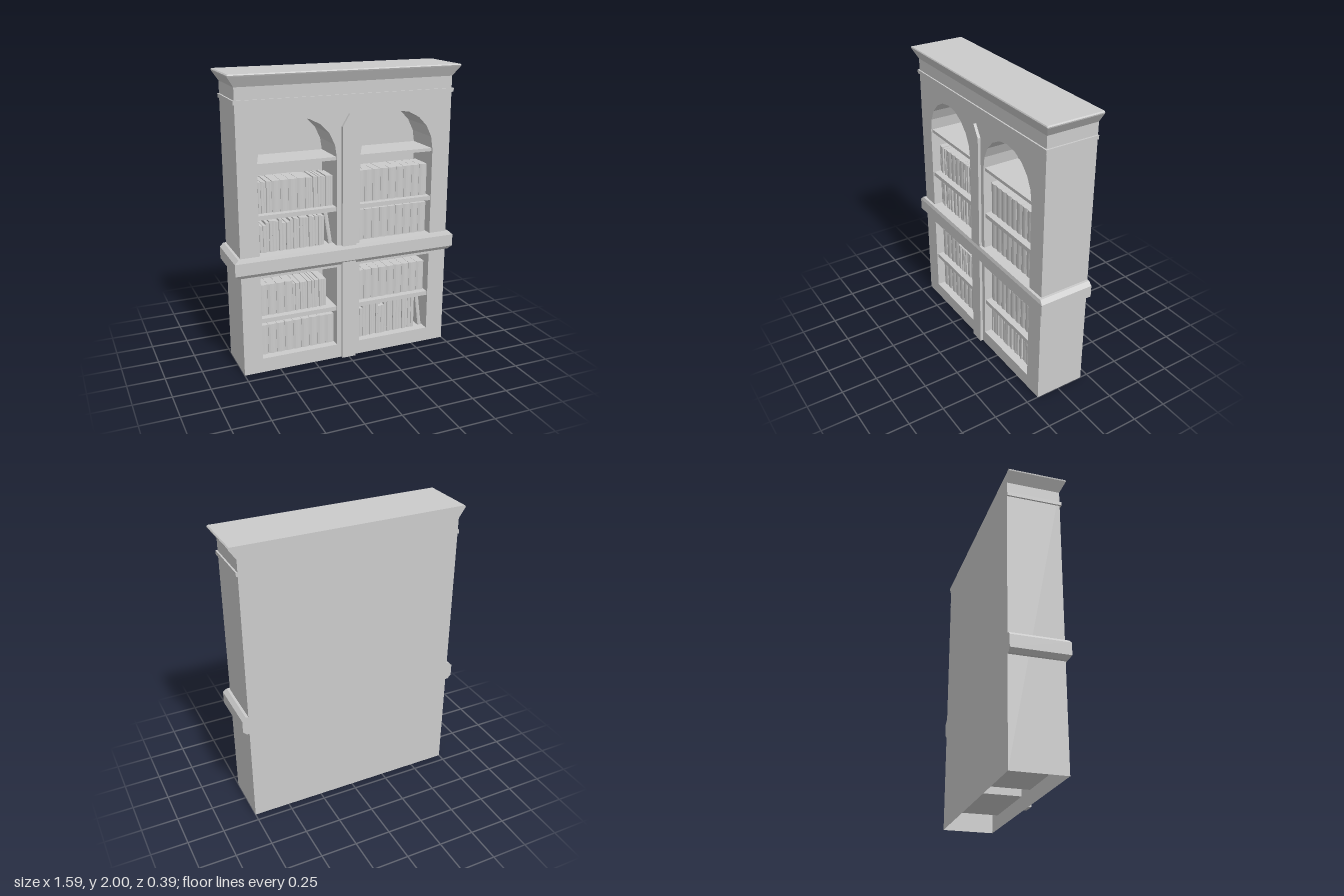
import * as THREE from 'three';

const FRONT = 0.165, BACK = -0.195, NICHE_BACK = -0.1;
const IN = 0.083, OUT = 0.62, MID = (IN + OUT) / 2, R = (OUT - IN) / 2;

const solid = new THREE.MeshStandardMaterial({ color: 0xcccccc, flatShading: true });
const sheet = new THREE.MeshStandardMaterial({ color: 0xcccccc, flatShading: true, side: THREE.DoubleSide });

function add(parent, name, geometry, material = solid) {
  const mesh = new THREE.Mesh(geometry, material);
  mesh.name = name;
  parent.add(mesh);
  return mesh;
}

function box(parent, name, x0, x1, y0, y1, z0, z1) {
  const mesh = add(parent, name, new THREE.BoxGeometry(x1 - x0, y1 - y0, z1 - z0));
  mesh.position.set((x0 + x1) / 2, (y0 + y1) / 2, (z0 + z1) / 2);
  return mesh;
}

// Flat-faced geometry from quads given as four corner arrays
function fromQuads(quads) {
  const pos = [];
  for (const [a, b, c, d] of quads) pos.push(...a, ...b, ...c, ...a, ...c, ...d);
  const g = new THREE.BufferGeometry();
  g.setAttribute('position', new THREE.Float32BufferAttribute(pos, 3));
  g.computeVertexNormals();
  return g;
}

// Rectangular moulding: stacked rings of [y, half width, front z, back z]
function moulding(rings, capped = true) {
  const loops = rings.map(([y, x, f, b = BACK]) => [[-x, y, f], [x, y, f], [x, y, b], [-x, y, b]]);
  const quads = [];
  for (let i = 0; i + 1 < loops.length; i++) {
    const lo = loops[i], hi = loops[i + 1];
    for (let j = 0; j < 4; j++) {
      const k = (j + 1) % 4;
      quads.push([lo[j], lo[k], hi[k], hi[j]]);
    }
  }
  if (capped) quads.push([...loops[0]].reverse(), loops[loops.length - 1]);
  return fromQuads(quads);
}

// Outline of one opening; side is -1 or 1
function openingPoints(side, y0, y1, arched) {
  const c = side * MID;
  const pts = [new THREE.Vector2(c - R, y0), new THREE.Vector2(c + R, y0)];
  if (!arched) pts.push(new THREE.Vector2(c + R, y1), new THREE.Vector2(c - R, y1));
  else for (let i = 0; i <= 10; i++) {
    const a = (i / 10) * Math.PI;
    pts.push(new THREE.Vector2(c + R * Math.cos(a), y1 - 0.28 + 0.28 * Math.sin(a)));
  }
  return pts;
}

// Book with a rounded spine facing the front, standing on y = 0
function bookGeometry(w, h, depth) {
  const s = new THREE.Shape();
  const b = w * 0.14;
  s.moveTo(-w / 2, depth);
  s.lineTo(-w / 2, b);
  s.lineTo(-w / 4, b * 0.25);
  s.lineTo(0, 0);
  s.lineTo(w / 4, b * 0.25);
  s.lineTo(w / 2, b);
  s.lineTo(w / 2, depth);
  const g = new THREE.ExtrudeGeometry(s, { depth: h, bevelEnabled: false });
  return g.rotateX(-Math.PI / 2);
}

function books(parent, y, x0, x1, count, height, vary = 0) {
  const w = (x1 - x0) / count;
  for (let i = 0; i < count; i++) {
    const wobble = 0.5 + 0.5 * Math.sin(i * 2.4 + x0 * 9);
    const depth = 0.17 - (vary ? 0.02 * wobble : 0);
    const m = add(parent, 'book', bookGeometry(w * 0.97, height - vary * wobble, depth));
    m.position.set(x0 + w * (i + 0.5), y, 0.112 - (vary ? 0.01 * wobble : 0));
  }
}

function leaningBook(parent, x, y, height, tilt) {
  const m = add(parent, 'leaningBook', bookGeometry(0.026, height, 0.16));
  m.position.set(x, y + 0.005, 0.11);
  m.rotation.z = tilt;
}

export function createModel() {
  const model = new THREE.Group();
  model.name = 'bookcase';

  // Carcass: open at the bottom, with four openings in the front
  const carcass = new THREE.Group();
  carcass.name = 'carcass';
  model.add(carcass);
  const W = 0.75, H = 1.93;
  const face = new THREE.Shape([[-W, 0], [W, 0], [W, H], [-W, H]].map(p => new THREE.Vector2(...p)));
  for (const side of [-1, 1]) {
    for (const [y0, y1, arched] of [[0.1, 0.677, false], [0.825, 1.712, true]]) {
      const pts = openingPoints(side, y0, y1, arched);
      face.holes.push(new THREE.Path(pts));
      const lining = pts.map((p, i) => {
        const q = pts[(i + 1) % pts.length];
        return [[p.x, p.y, FRONT], [p.x, p.y, NICHE_BACK], [q.x, q.y, NICHE_BACK], [q.x, q.y, FRONT]];
      });
      add(carcass, 'nicheLining', fromQuads(lining), sheet);
      add(carcass, 'nicheBack', new THREE.ShapeGeometry(new THREE.Shape(pts)), sheet).position.z = NICHE_BACK;
    }
    // Shelves
    const a = side * MID - R, b = side * MID + R;
    for (const [y0, y1] of [[0.355, 0.385], [1.068, 1.098], [1.415, 1.437]]) {
      box(carcass, 'shelf', a, b, y0, y1, NICHE_BACK, 0.155);
    }
  }
  add(carcass, 'frontFace', new THREE.ShapeGeometry(face), sheet).position.z = FRONT;
  add(carcass, 'sidesAndBack', fromQuads([
    [[W, 0, FRONT], [W, 0, BACK], [W, H, BACK], [W, H, FRONT]],
    [[W, 0, BACK], [-W, 0, BACK], [-W, H, BACK], [W, H, BACK]],
    [[-W, 0, BACK], [-W, 0, FRONT], [-W, H, FRONT], [-W, H, BACK]],
  ]), sheet);

  // Crown, thin band and waist belt
  add(model, 'crown', moulding([
    [1.92, 0.75, FRONT], [1.985, 0.795, 0.197], [1.993, 0.797, 0.2], [2.0, 0.79, 0.196],
  ]));
  add(model, 'band', moulding([[1.814, 0.761, 0.175], [1.84, 0.761, 0.175]]));
  add(model, 'waistBelt', moulding([
    [0.697, 0.767, 0.172], [0.722, 0.793, 0.191], [0.805, 0.793, 0.191], [0.83, 0.767, 0.184],
  ]));

  // Pointed central pilaster
  const post = new THREE.Shape([[-0.05, 0], [0.05, 0], [0.05, 1.635], [0, 1.717], [-0.05, 1.635]]
    .map(p => new THREE.Vector2(...p)));
  add(model, 'pilaster', new THREE.ExtrudeGeometry(post, { depth: 0.02, bevelEnabled: false }))
    .position.z = FRONT;

  // Books
  const library = new THREE.Group();
  library.name = 'books';
  model.add(library);
  const rows = [
    // y, x0, x1, count, height, variation
    [1.098, 0.083, 0.615, 9, 0.22],
    [0.83, 0.083, 0.615, 9, 0.215],
    [0.385, 0.083, 0.615, 9, 0.22],
    [0.1, -0.62, -0.085, 9, 0.215],
    [0.385, -0.615, -0.38, 4, 0.22],
    [0.385, -0.38, -0.14, 14, 0.2, 0.005],
    [1.098, -0.62, -0.51, 6, 0.21, 0.006],
    [1.098, -0.51, -0.28, 4, 0.21],
    [1.098, -0.28, -0.088, 11, 0.21, 0.008],
    [0.83, -0.62, -0.555, 3, 0.185, 0.005],
    [0.83, -0.555, -0.445, 5, 0.215, 0.015],
    [0.83, -0.445, -0.39, 2, 0.19, 0.005],
    [0.83, -0.39, -0.15, 11, 0.213, 0.012],
    [0.1, 0.085, 0.135, 2, 0.215],
    [0.1, 0.135, 0.175, 2, 0.25],
    [0.1, 0.175, 0.255, 5, 0.24, 0.005],
    [0.1, 0.255, 0.305, 2, 0.212],
    [0.1, 0.305, 0.545, 10, 0.24, 0.003],
  ];
  for (const row of rows) books(library, ...row);
  leaningBook(library, -0.108, 0.83, 0.218, 0.15);
  leaningBook(library, 0.595, 0.1, 0.245, 0.13);

  return model;
}
